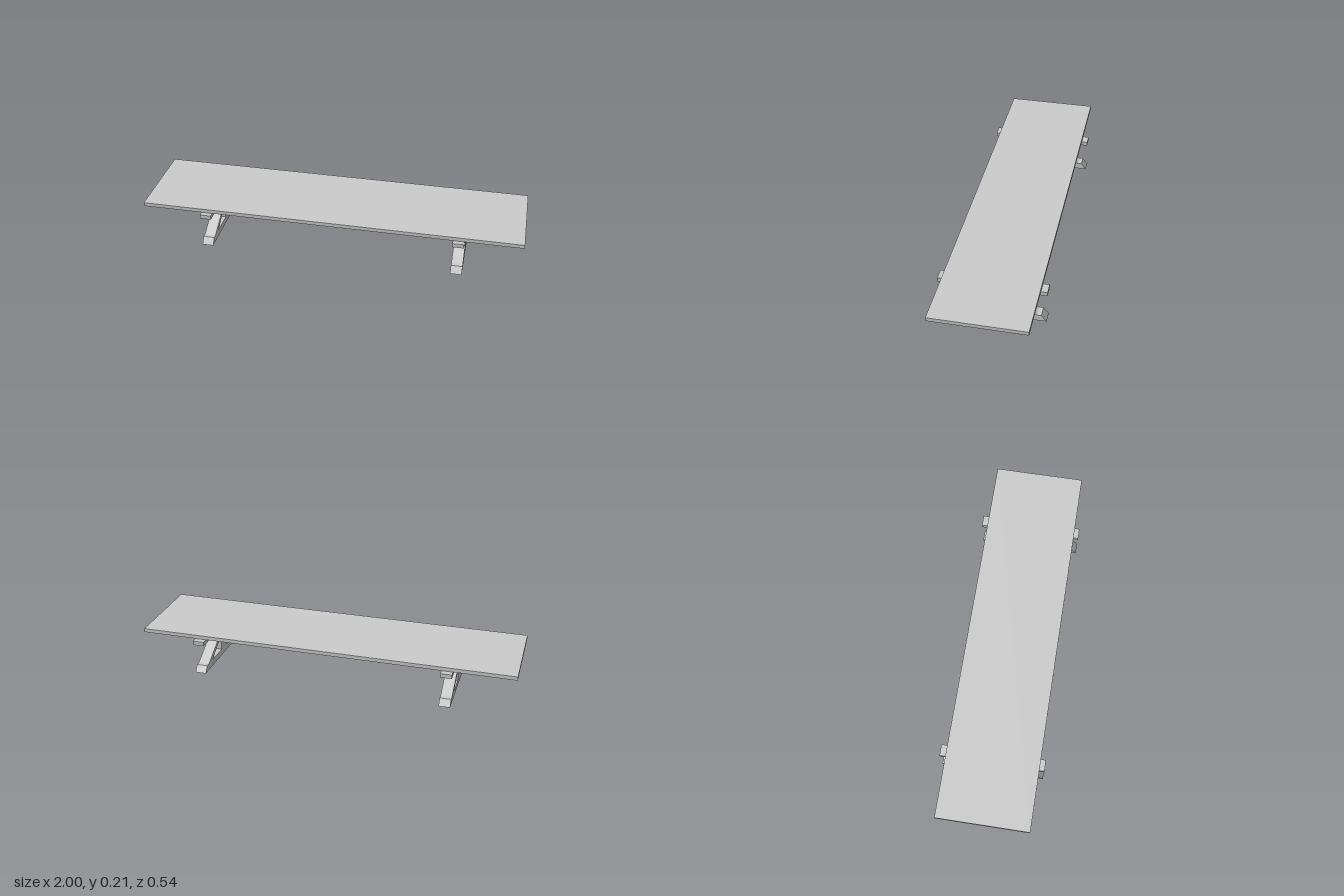
import * as THREE from 'three';

const material = new THREE.MeshStandardMaterial({ color: 0xcccccc, flatShading: true });
const THICK = 0.059; // trestle timber thickness along x

function box(name, x0, x1, y0, y1, z0, z1) {
  const mesh = new THREE.Mesh(new THREE.BoxGeometry(x1 - x0, y1 - y0, z1 - z0), material);
  mesh.position.set((x0 + x1) / 2, (y0 + y1) / 2, (z0 + z1) / 2);
  mesh.name = name;
  return mesh;
}

// Side outline given as [z, y] corners, extruded along x and centred on it
function plank(name, points) {
  const shape = new THREE.Shape(points.map(([z, y]) => new THREE.Vector2(-z, y)));
  const geometry = new THREE.ExtrudeGeometry(shape, { depth: THICK, bevelEnabled: false });
  geometry.translate(0, 0, -THICK / 2);
  geometry.rotateY(Math.PI / 2);
  const mesh = new THREE.Mesh(geometry, material);
  mesh.name = name;
  return mesh;
}

function createTrestle(name, x) {
  const trestle = new THREE.Group();
  trestle.name = name;
  const h = THICK / 2;
  // Foot with sloped ends, central post and bearer under the top
  trestle.add(plank('foot', [[-0.268, 0], [0.268, 0], [0.242, 0.034], [-0.242, 0.034]]));
  trestle.add(box('post', -h, h, 0.034, 0.166, -0.036, 0.034));
  trestle.add(box('bearer', -h, h, 0.166, 0.188, -0.27, 0.27));
  // Diagonal braces
  for (const [side, s] of [['front', 1], ['back', -1]]) {
    const post = s > 0 ? 0.034 : -0.036;
    trestle.add(plank(side + 'Brace', [
      [post, 0.114], [s * 0.169, 0.034], [s * 0.22, 0.034], [post, 0.136],
    ]));
  }
  trestle.position.x = x;
  return trestle;
}

export function createModel() {
  const table = new THREE.Group();
  table.name = 'trestleTable';
  table.add(box('tableTop', -1, 1, 0.188, 0.208, -0.238, 0.244));
  table.add(createTrestle('rightTrestle', -0.652));
  table.add(createTrestle('leftTrestle', 0.673));
  // Long rail joining the two posts
  table.add(box('stretcher', -0.623, 0.644, 0.092, 0.109, -0.014, 0.012));
  return table;
}
